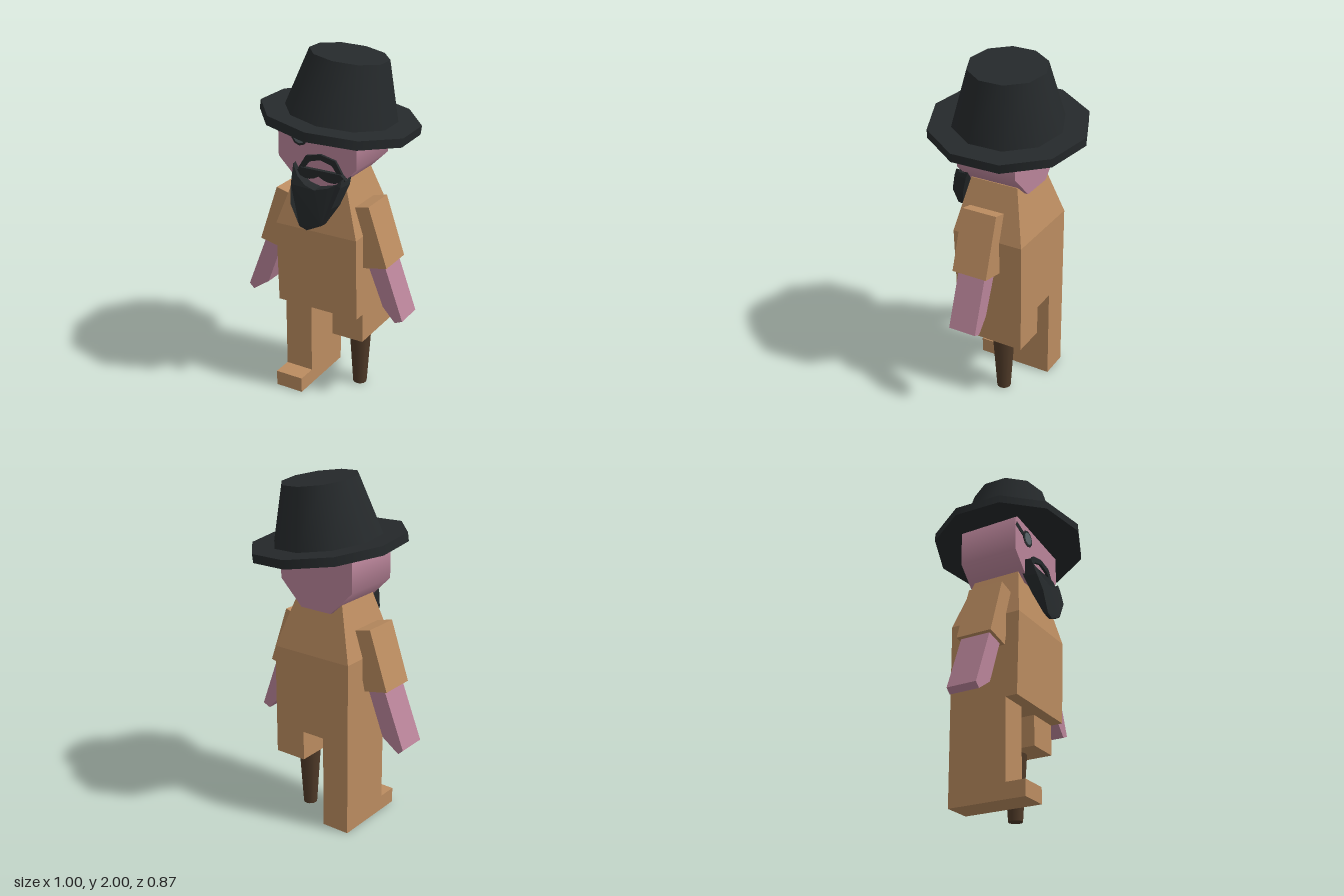
import * as THREE from 'three';

const paint = (color, flatShading = true) => new THREE.MeshStandardMaterial({ color, flatShading });

export function createModel() {
  const model = new THREE.Group();
  const cloth = paint(0xbb8c60), skin = paint(0xb98499), skinSmooth = paint(0xb98499, false);
  const black = paint(0x25292b), felt = paint(0x25292b, false);
  const wood = paint(0x4f3a28, false), lens = paint(0x59656a);

  const add = (name, geometry, material, parent = model) => {
    const mesh = new THREE.Mesh(geometry, material);
    mesh.name = name;
    parent.add(mesh);
    return mesh;
  };
  // Box given by its limits on each axis
  const box = (name, [x0, x1], [y0, y1], [z0, z1], material) =>
    add(name, new THREE.BoxGeometry(x1 - x0, y1 - y0, z1 - z0)
      .translate((x0 + x1) / 2, (y0 + y1) / 2, (z0 + z1) / 2), material);
  // Front outline extruded between two depths
  const outline = (pts) => new THREE.Shape(pts.map(([x, y]) => new THREE.Vector2(x, y)));
  const slab = (name, shape, z0, z1, material) =>
    add(name, new THREE.ExtrudeGeometry(shape, { depth: z1 - z0, bevelEnabled: false, curveSegments: 5 })
      .translate(0, 0, z0), material);

  // Coat body: three rectangular sections [y, x0, x1, z0, z1]
  const sections = [
    [0.55, -0.24, 0.265, -0.2, 0.21],
    [1.03, -0.24, 0.265, -0.2, 0.225],
    [1.33, -0.14, 0.165, -0.12, 0.165],
  ];
  const torso = new THREE.BoxGeometry(2, 2, 2, 1, 2, 1);
  const tp = torso.attributes.position;
  for (let i = 0; i < tp.count; i++) {
    const [y, x0, x1, z0, z1] = sections[Math.round(tp.getY(i)) + 1];
    tp.setXYZ(i, tp.getX(i) < 0 ? x0 : x1, y, tp.getZ(i) < 0 ? z0 : z1);
  }
  torso.computeVertexNormals();
  add('torso', torso, cloth);

  // Legs: whole right leg with shoe, left stump on a wooden peg
  box('rightLeg', [-0.24, -0.07], [0, 0.55], [-0.2, 0.14], cloth);
  box('rightFoot', [-0.24, -0.07], [0, 0.09], [0.14, 0.255], cloth);
  box('leftStump', [0.07, 0.265], [0.375, 0.55], [-0.2, 0.14], cloth);
  add('pegLeg', new THREE.CylinderGeometry(0.065, 0.04, 0.375, 12).translate(0.16, 0.1875, -0.03), wood);

  // Arms, the right one hanging slightly lower
  slab('leftSleeve', outline([[0.19, 1.18], [0.265, 0.84], [0.41, 0.87], [0.295, 1.205]]), -0.065, 0.145, cloth);
  slab('leftHand', outline([[0.27, 0.9], [0.29, 0.84], [0.38, 0.62], [0.455, 0.54], [0.5, 0.56], [0.375, 0.9]]),
    -0.045, 0.12, skin);
  slab('rightSleeve', outline([[-0.18, 1.18], [-0.285, 1.205], [-0.4, 0.87], [-0.255, 0.84]]), -0.065, 0.145, cloth);
  slab('rightHand', outline([[-0.26, 0.9], [-0.365, 0.9], [-0.505, 0.545], [-0.475, 0.517], [-0.37, 0.59], [-0.275, 0.84]]),
    -0.05, 0.125, skin);

  // Eight-sided head lying front to back
  const headRadius = 0.24 / Math.cos(Math.PI / 8);
  add('head', new THREE.CylinderGeometry(headRadius, headRadius, 0.355, 8, 1, false, Math.PI / 8)
    .rotateX(Math.PI / 2).translate(0.01, 1.52, 0.0225), skinSmooth);

  // Tilted hat
  const hat = new THREE.Group();
  hat.name = 'hat';
  hat.position.set(0.042, 1.65, 0);
  hat.rotation.set(-0.055, 0, -0.118);
  model.add(hat);
  const turn = 0.09;
  add('hatBrim', new THREE.CylinderGeometry(0.438, 0.438, 0.05, 10, 1, false, turn).translate(0, -0.025, 0), felt, hat);
  add('hatCrown', new THREE.CylinderGeometry(0.215, 0.308, 0.325, 10, 1, false, turn).translate(0.003, 0.1625, 0), felt, hat);

  // Eye patch with its rim and strap
  const disc = (r, z) => new THREE.CylinderGeometry(r, r, 0.02, 10).rotateX(Math.PI / 2).translate(-0.095, 1.55, z);
  add('eyePatchRim', disc(0.05, 0.194), black);
  add('eyePatch', disc(0.037, 0.197), lens);
  slab('eyePatchStrap', outline([[-0.228, 1.575], [-0.13, 1.54], [-0.13, 1.57], [-0.215, 1.602]]), 0.19, 0.203, black);

  // Nose arch
  slab('noseArch', outline([
    [-0.1, 1.375], [-0.07, 1.375], [-0.03, 1.425], [0.04, 1.445], [0.11, 1.425], [0.15, 1.375],
    [0.18, 1.375], [0.13, 1.455], [0.04, 1.475], [-0.05, 1.455],
  ]), 0.18, 0.215, black);

  // Moustache with two drooping lobes
  const lip = new THREE.Shape();
  lip.moveTo(-0.11, 1.36);
  lip.quadraticCurveTo(-0.035, 1.305, 0.035, 1.355);
  lip.quadraticCurveTo(0.11, 1.305, 0.2, 1.36);
  lip.lineTo(0.17, 1.388);
  lip.lineTo(-0.08, 1.388);
  slab('moustache', lip, 0.18, 0.225, black);

  // Beard: an extrusion leaning outward toward its tip, front edges drawn in
  const beard = slab('beard', outline([
    [-0.13, 1.405], [-0.125, 1.3], [-0.11, 1.2], [-0.05, 1.08], [0, 1.065], [0.1, 1.11], [0.165, 1.22],
    [0.2, 1.33], [0.2, 1.37], [0.17, 1.34], [0.12, 1.315], [0.035, 1.292], [-0.03, 1.307], [-0.09, 1.347],
  ]), 0, 1, black);
  const bp = beard.geometry.attributes.position;
  for (let i = 0; i < bp.count; i++) {
    const x = bp.getX(i), y = bp.getY(i);
    if (bp.getZ(i) > 0.5) bp.setXYZ(i, 0.035 + (x - 0.035) * 0.92, y, Math.min(0.225 + (1.43 - y) * 0.33, 0.297));
    else bp.setZ(i, 0.17 + (1.355 - y) * 0.38);
  }
  beard.geometry.computeVertexNormals();

  return model;
}
